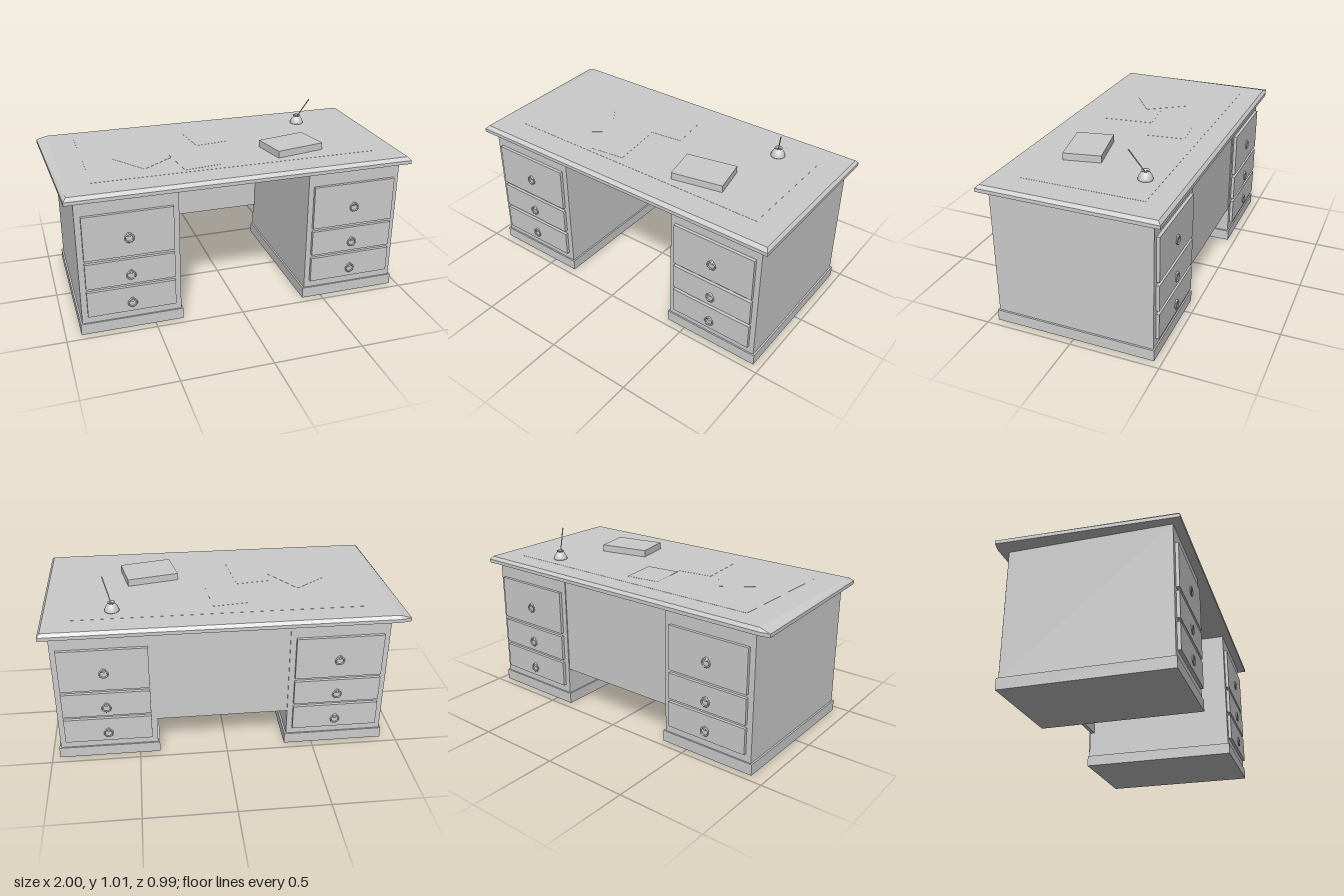
import * as THREE from 'three';

const material = new THREE.MeshStandardMaterial({ color: 0xcccccc });
const flat = new THREE.MeshStandardMaterial({ color: 0xcccccc, flatShading: true, side: THREE.DoubleSide });

function add(parent, name, geometry, x = 0, y = 0, z = 0, mat = material) {
  const mesh = new THREE.Mesh(geometry, mat);
  mesh.name = name;
  mesh.position.set(x, y, z);
  parent.add(mesh);
  return mesh;
}

// Box given by its extents
function block(parent, name, x0, x1, y0, y1, z0, z1) {
  return add(parent, name, new THREE.BoxGeometry(x1 - x0, y1 - y0, z1 - z0),
    (x0 + x1) / 2, (y0 + y1) / 2, (z0 + z1) / 2);
}

// Closed solid through a stack of rings, each a list of [x, z] at height y
function stack(rings) {
  const pos = [], index = [], n = rings[0].points.length;
  for (const { y, points } of rings) for (const [x, z] of points) pos.push(x, y, z);
  for (let r = 0; r < rings.length - 1; r++) {
    for (let i = 0; i < n; i++) {
      const a = r * n + i, b = r * n + (i + 1) % n;
      index.push(a, b, b + n, a, b + n, a + n);
    }
  }
  const top = (rings.length - 1) * n;
  for (let i = 1; i < n - 1; i++) {
    index.push(0, i + 1, i);
    index.push(top, top + i, top + i + 1);
  }
  const g = new THREE.BufferGeometry();
  g.setAttribute('position', new THREE.Float32BufferAttribute(pos, 3));
  g.setIndex(index);
  const out = g.toNonIndexed();
  out.computeVertexNormals();
  return out;
}

// Drawer front with a ring pull, built facing +z
function drawer(y0, y1, pullY) {
  const g = new THREE.Group();
  g.name = 'drawer';
  block(g, 'drawerFront', -0.245, 0.245, y0, y1, 0.44, 0.467);
  const stud = add(g, 'pullStud', new THREE.CylinderGeometry(0.011, 0.014, 0.008, 12), 0, pullY + 0.018, 0.47);
  stud.rotation.x = Math.PI / 2;
  add(g, 'pullRing', new THREE.TorusGeometry(0.023, 0.0045, 8, 20), 0, pullY, 0.4725);
  return g;
}

function pedestal(x0, x1) {
  const g = new THREE.Group();
  g.name = 'pedestal';
  block(g, 'cabinet', x0, x1, 0.06, 0.8, -0.449, 0.449);
  block(g, 'plinth', x0 - 0.01, x1 + 0.01, 0, 0.064, -0.457, 0.457);
  const rows = [[0.45, 0.705, 0.558], [0.28, 0.43, 0.335], [0.11, 0.26, 0.163]];
  for (const turn of [0, Math.PI]) {
    for (const row of rows) {
      const d = drawer(...row);
      d.position.x = (x0 + x1) / 2;
      d.rotation.y = turn;
      g.add(d);
    }
  }
  return g;
}

export function createModel() {
  const desk = new THREE.Group();
  desk.name = 'desk';

  // Two drawer pedestals and the panel joining them at the back
  desk.add(pedestal(-0.905, -0.35), pedestal(0.395, 0.947));
  block(desk, 'modestyPanel', -0.36, 0.405, 0.22, 0.8, -0.443, -0.42);

  // Desktop with bevelled rim; its -x end runs slightly askew
  const rim = [[0.995, 0.497], [0.995, -0.497], [-0.94, -0.497], [-1, -0.485], [-0.955, 0.497]];
  const face = [[0.98, 0.477], [0.98, -0.482], [-0.933, -0.482], [-0.937, -0.482], [-0.937, 0.477]];
  const top = stack([{ y: 0.795, points: rim }, { y: 0.815, points: rim }, { y: 0.833, points: face }]);
  add(desk, 'desktop', top, 0, 0, 0, flat);

  // Writing mat and loose sheets
  block(desk, 'writingMat', -0.79, 0.835, 0.832, 0.834, -0.36, 0.333);
  const sheets = [[-0.465, 0.06, 0.62, 0.22, 0.25], [-0.19, 0.145, 0.12, 0.21, 0.3], [-0.03, -0.16, 0.12, 0.2, 0.22]];
  sheets.forEach(([x, z, turn, w, d], i) => {
    const sheet = add(desk, 'paper', new THREE.BoxGeometry(w, 0.001, d), x, 0.8345 + i * 0.001, z);
    sheet.rotation.y = turn;
  });

  // Book
  const book = add(desk, 'book', new THREE.BoxGeometry(0.296, 0.041, 0.212), 0.397, 0.854, 0.153);
  book.rotation.y = 0.2;

  // Inkwell with a leaning pen
  const profile = [[0, 0], [0.04, 0], [0.041, 0.006], [0.037, 0.019], [0.03, 0.032],
    [0.021, 0.044], [0.017, 0.046], [0.021, 0.049], [0.021, 0.053], [0.012, 0.053], [0.01, 0.04], [0, 0.04]];
  add(desk, 'inkwell', new THREE.LatheGeometry(profile.map(p => new THREE.Vector2(...p)), 24), 0.61, 0.833, -0.267);
  const from = new THREE.Vector3(0.609, 0.87, -0.267), to = new THREE.Vector3(0.655, 1.004, -0.193);
  const dir = to.clone().sub(from);
  const pen = add(desk, 'pen', new THREE.CylinderGeometry(0.0035, 0.0028, dir.length(), 8));
  pen.position.copy(from).add(to).multiplyScalar(0.5);
  pen.quaternion.setFromUnitVectors(new THREE.Vector3(0, 1, 0), dir.normalize());

  return desk;
}
